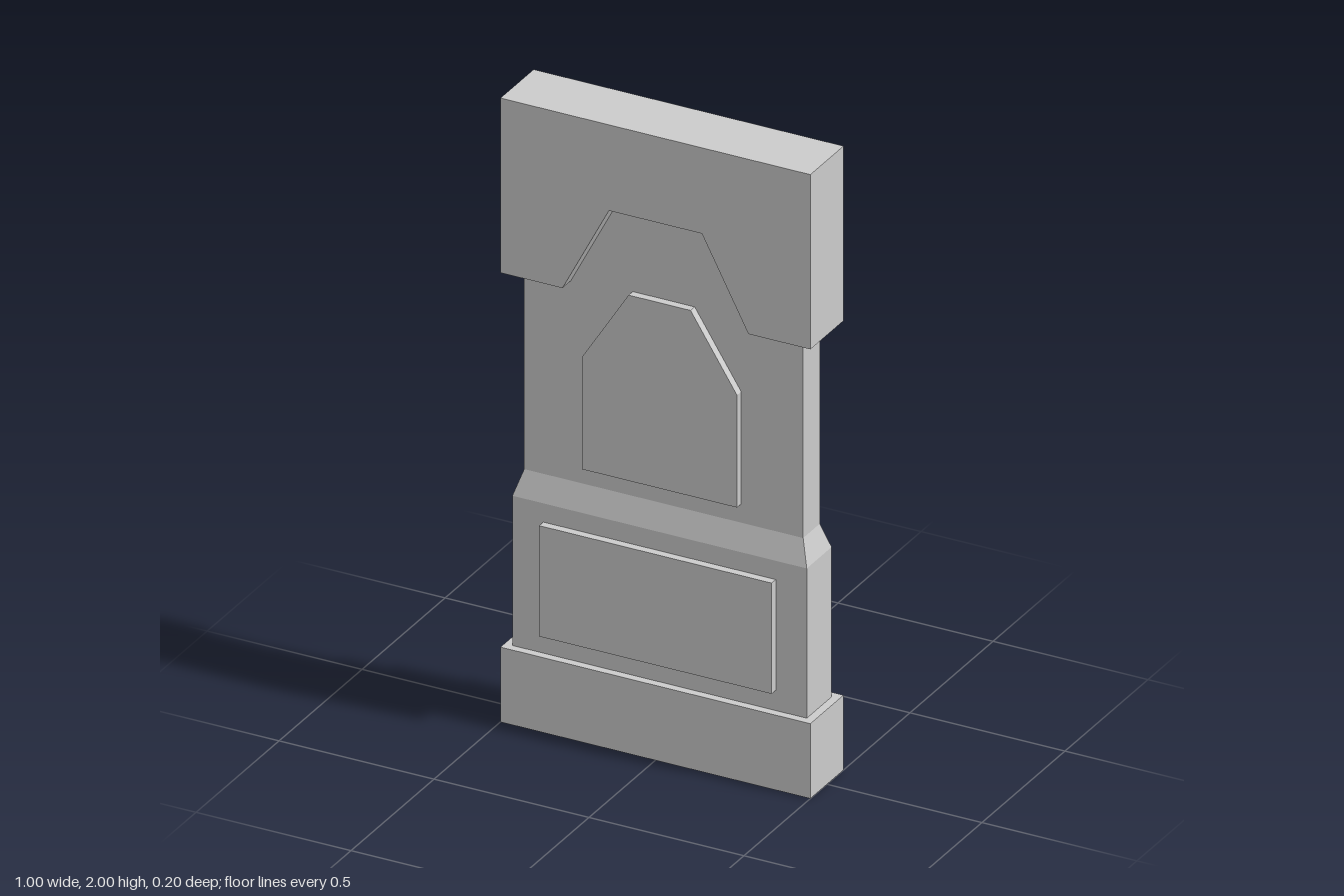
import * as THREE from 'three';

const material = new THREE.MeshStandardMaterial({ color: 0xcccccc, flatShading: true });
const shellMaterial = new THREE.MeshStandardMaterial({ color: 0xcccccc, flatShading: true, side: THREE.DoubleSide });

// Open shell through rectangular rings given as [y, half width, half depth]
function rectangularShell(rings) {
  const corners = [[1, 1], [1, -1], [-1, -1], [-1, 1]];
  const positions = [];
  const index = [];
  rings.forEach(([y, w, d], r) => {
    corners.forEach(([sx, sz], i) => {
      positions.push(sx * w, y, sz * d);
      if (r === 0) return;
      const a = (r - 1) * 4 + i;
      const b = (r - 1) * 4 + (i + 1) % 4;
      index.push(a, b, b + 4, a, b + 4, a + 4);
    });
  });
  const indexed = new THREE.BufferGeometry();
  indexed.setAttribute('position', new THREE.Float32BufferAttribute(positions, 3));
  indexed.setIndex(index);
  const geometry = indexed.toNonIndexed();
  geometry.computeVertexNormals();
  return geometry;
}

// Flat plate with a mirrored outline: the points run up or along the +x half
function plate(half, z0, z1) {
  const mirrored = half.map(([x, y]) => [-x, y]).reverse();
  const shape = new THREE.Shape([...half, ...mirrored].map(([x, y]) => new THREE.Vector2(x, y)));
  const geometry = new THREE.ExtrudeGeometry(shape, { depth: z1 - z0, bevelEnabled: false });
  return geometry.translate(0, 0, z0);
}

export function createModel() {
  const model = new THREE.Group();
  model.name = 'panelledPillar';

  function add(name, geometry, mat = material) {
    const mesh = new THREE.Mesh(geometry, mat);
    mesh.name = name;
    model.add(mesh);
    return mesh;
  }

  // Plinth, lower body, sloped shoulder and upper body, open underneath
  add('body', rectangularShell([
    [0, 0.5, 0.1], [0.24, 0.5, 0.1],
    [0.24, 0.475, 0.075], [0.72, 0.475, 0.075],
    [0.8, 0.45, 0.05], [1.75, 0.45, 0.05],
  ]), shellMaterial);

  // Head block with an angular arch cut into its underside
  add('headBlock', plate([[0.15, 1.725], [0.3, 1.44], [0.5, 1.44], [0.5, 2]], -0.1, 0.1));

  // Raised panels on the front and the back
  const archPanel = plate([[0.25, 0.86], [0.25, 1.22], [0.1, 1.455]], 0.05, 0.075);
  const lowerPanel = plate([[0.375, 0.305], [0.375, 0.66]], 0.075, 0.1);
  for (const [side, angle] of [['front', 0], ['back', Math.PI]]) {
    add(side + 'ArchPanel', archPanel).rotation.y = angle;
    add(side + 'LowerPanel', lowerPanel).rotation.y = angle;
  }

  return model;
}
